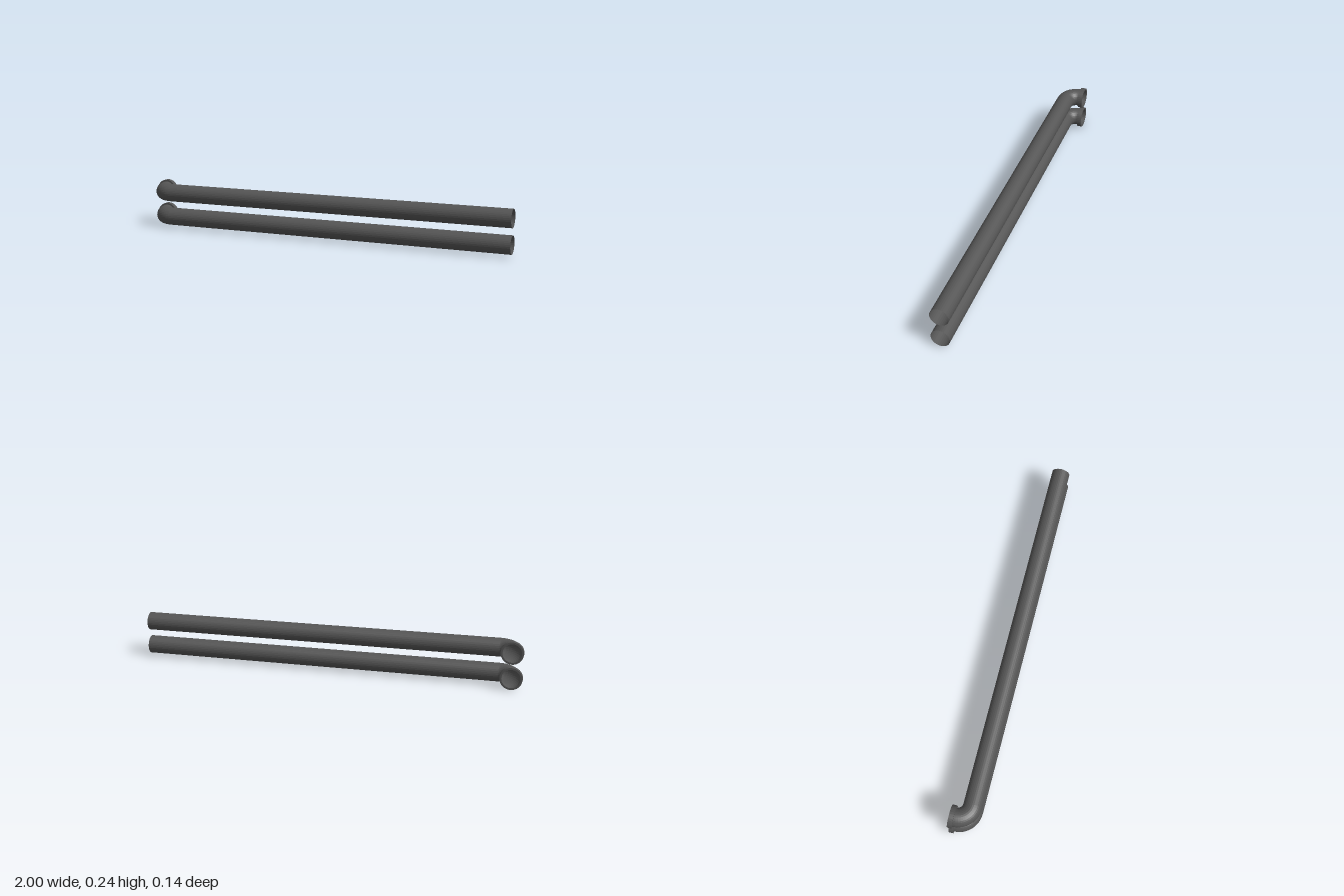
import * as THREE from 'three';

const PIPE_R = 0.047, FLANGE_R = 0.0565, BEND_R = 0.071, SIDES = 32;
const AXIS_Z = 0.024;               // centre line of the straight run
const MOUTH_X = -1 + FLANGE_R;      // centre line of the flanged mouth
const BEND_X = MOUTH_X + BEND_R;    // where the bend meets the straight run
const BEND_Z = AXIS_Z - BEND_R;     // where the bend meets the flange
const BACK_Z = -0.071;

export function createModel() {
  const model = new THREE.Group();
  model.name = 'pipePair';
  const darkGrey = new THREE.MeshStandardMaterial({
    color: 0x555555, flatShading: true, side: THREE.DoubleSide,
  });
  darkGrey.name = 'darkGrey';

  // Straight run, open at both ends
  const length = 1 - BEND_X;
  const straight = new THREE.CylinderGeometry(PIPE_R, PIPE_R, length, SIDES, 1, true)
    .rotateZ(Math.PI / 2).translate(BEND_X + length / 2, 0, AXIS_Z);

  // Quarter bend turning towards the back
  const bend = new THREE.TorusGeometry(BEND_R, PIPE_R, SIDES, 12, Math.PI / 2)
    .rotateZ(Math.PI / 2).rotateX(Math.PI / 2).translate(BEND_X, 0, BEND_Z);

  // Flange ring with an open bore
  const profile = [
    [PIPE_R, BACK_Z], [FLANGE_R, BACK_Z], [FLANGE_R, BEND_Z], [PIPE_R, BEND_Z], [PIPE_R, BACK_Z],
  ].map(([r, z]) => new THREE.Vector2(r, z));
  const flange = new THREE.LatheGeometry(profile, SIDES)
    .rotateX(Math.PI / 2).translate(MOUTH_X, 0, 0);

  // Two identical pipes, one above the other
  for (const [name, y] of [['lowerPipe', FLANGE_R], ['upperPipe', 0.1865]]) {
    const pipe = new THREE.Group();
    pipe.name = name;
    pipe.position.y = y;
    for (const [part, geometry] of Object.entries({ straight, bend, flange })) {
      const mesh = new THREE.Mesh(geometry, darkGrey);
      mesh.name = part;
      pipe.add(mesh);
    }
    model.add(pipe);
  }
  return model;
}
